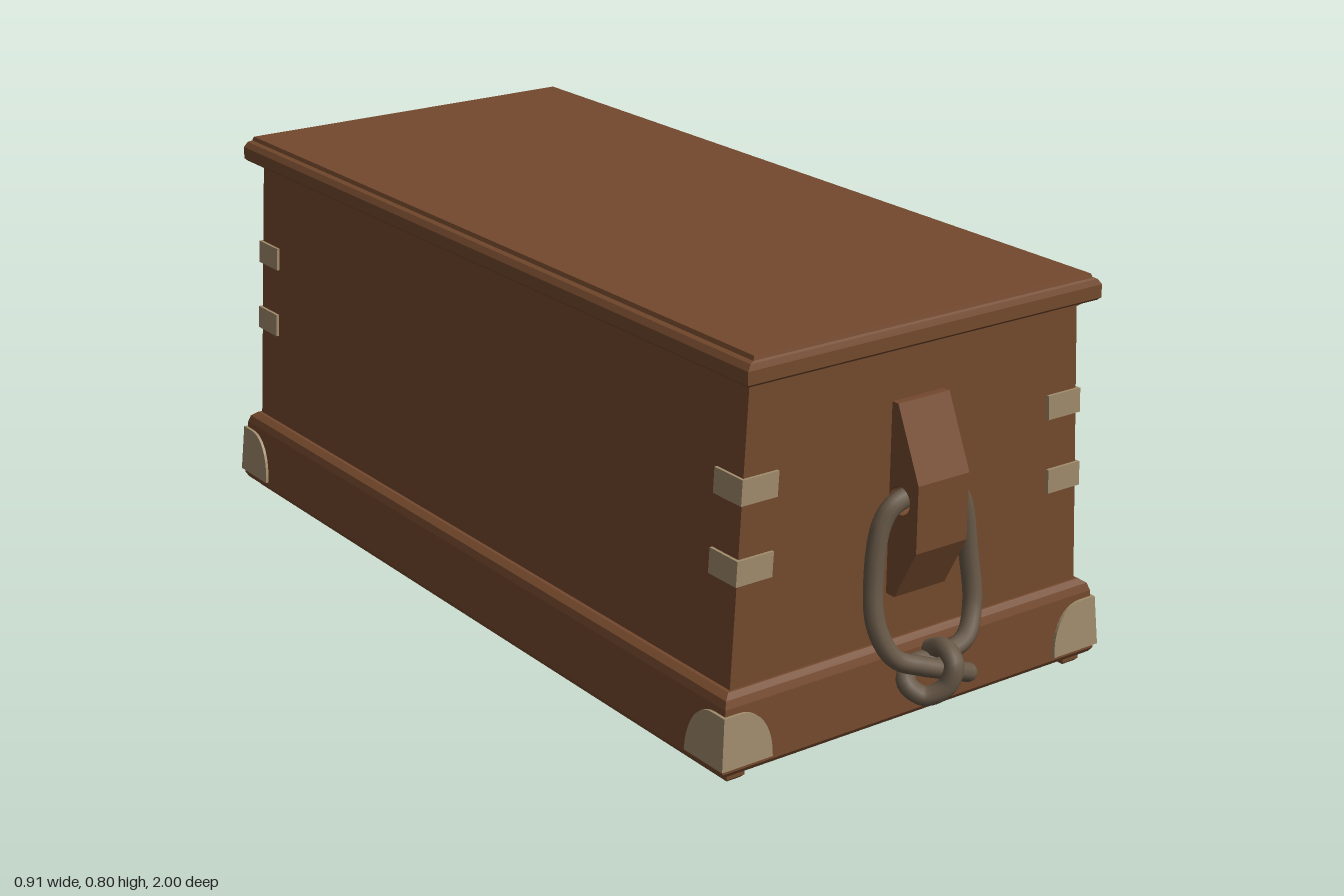
import * as THREE from 'three';

const wood = new THREE.MeshStandardMaterial({ color: 0x74492d });
wood.name = 'brown wood';
const metal = new THREE.MeshStandardMaterial({ color: 0xa08c6c, side: THREE.DoubleSide });
metal.name = 'tan fittings';
const hemp = new THREE.MeshStandardMaterial({ color: 0x675847 });
hemp.name = 'rope';

function add(parent, name, geometry, material) {
  const mesh = new THREE.Mesh(geometry, material);
  mesh.name = name;
  parent.add(mesh);
  return mesh;
}

// Joins rectangular rings [y, half width, half depth] and caps both ends.
function loft(rings) {
  const pos = [];
  const ring = ([y, x, z]) => [[-x, y, z], [x, y, z], [x, y, -z], [-x, y, -z]];
  const quad = (a, b, c, d) => pos.push(...a, ...b, ...c, ...a, ...c, ...d);
  for (let i = 0; i < rings.length - 1; i++) {
    const a = ring(rings[i]), b = ring(rings[i + 1]);
    for (let k = 0; k < 4; k++) {
      const n = (k + 1) % 4;
      quad(a[k], a[n], b[n], b[k]);
    }
  }
  const low = ring(rings[0]), top = ring(rings[rings.length - 1]);
  quad(low[3], low[2], low[1], low[0]);
  quad(...top);
  const g = new THREE.BufferGeometry();
  g.setAttribute('position', new THREE.Float32BufferAttribute(pos, 3));
  g.computeVertexNormals();
  return g;
}

// Wall positions of the tapered body and of the plinth at height y.
const bodyX = (y) => 0.415 - (y - 0.17) * 0.06;
const bodyZ = () => 0.857;
const plinthX = (y) => 0.45 - (y - 0.03) * 0.083;
const plinthZ = (y) => 0.885 - (y - 0.03) * 0.058;

// Thin plate pair folded round a corner; shape x runs away from the corner.
function cornerPlate(parent, name, shape, wallX, wallZ) {
  for (let sx = -1; sx <= 1; sx += 2) {
    for (let sz = -1; sz <= 1; sz += 2) {
      for (const onEnd of [true, false]) {
        const g = new THREE.ExtrudeGeometry(shape, { depth: 0.006, bevelEnabled: false, curveSegments: 10 });
        const p = g.attributes.position;
        for (let i = 0; i < p.count; i++) {
          const u = p.getX(i), y = p.getY(i), d = p.getZ(i);
          p.setXYZ(i, sx * (wallX(y) + (onEnd ? -u : d)), y, sz * (wallZ(y) + (onEnd ? d : -u)));
        }
        g.computeVertexNormals();
        add(parent, name, g, metal);
      }
    }
  }
}

function polygon(points) {
  return new THREE.Shape(points.map(([x, y]) => new THREE.Vector2(x, y)));
}

// Cleat with rope hole, lid batten and knotted rope for one end (s = 1 front, -1 back).
function endFittings(s) {
  const end = new THREE.Group();
  end.name = s > 0 ? 'frontHandle' : 'backHandle';
  const turn = s > 0 ? 0 : Math.PI;

  const profile = polygon([[0.85, 0.268], [0.88, 0.268], [0.934, 0.37], [0.934, 0.5], [0.873, 0.638], [0.85, 0.638]]);
  const hole = new THREE.Path();
  hole.absarc(0.886, 0.458, 0.027, 0, Math.PI * 2, true);
  profile.holes.push(hole);
  const cleat = new THREE.ExtrudeGeometry(profile, { depth: 0.12, bevelEnabled: false, curveSegments: 16 });
  cleat.rotateY(-Math.PI / 2).translate(0.06, 0, 0);
  add(end, 'handleCleat', cleat, wood).rotation.y = turn;

  const batten = new THREE.ExtrudeGeometry(
    polygon([[-0.385, 0.748], [-0.02, 0.685], [0.02, 0.685], [0.385, 0.748]]),
    { depth: 0.035, bevelEnabled: false });
  batten.translate(0, 0, 0.85);
  add(end, 'lidBatten', batten, wood).rotation.y = turn;

  const path = [
    [0.072, 0.105, 0.94], [0.01, 0.13, 0.945], [-0.04, 0.147, 0.935], [-0.09, 0.17, 0.92],
    [-0.117, 0.23, 0.9], [-0.115, 0.31, 0.885], [-0.095, 0.42, 0.88], [-0.065, 0.455, 0.884],
    [0.065, 0.455, 0.884], [0.095, 0.42, 0.88], [0.113, 0.31, 0.885], [0.113, 0.22, 0.9],
    [0.08, 0.165, 0.92], [0.02, 0.145, 0.918], [-0.04, 0.138, 0.908], [-0.067, 0.117, 0.93],
    [-0.045, 0.096, 0.955], [-0.015, 0.115, 0.978], [0, 0.155, 0.981], [0.005, 0.175, 0.95],
    [0.008, 0.16, 0.91],
  ].map(([x, y, z]) => new THREE.Vector3(x, y, z * s));
  add(end, 'ropeHandle', new THREE.TubeGeometry(new THREE.CatmullRomCurve3(path), 200, 0.0185, 10), hemp);
  for (const tip of [path[0], path[path.length - 1]]) {
    add(end, 'ropeEnd', new THREE.SphereGeometry(0.0185, 10, 8), hemp).position.copy(tip);
  }
  return end;
}

export function createModel() {
  const chest = new THREE.Group();
  chest.name = 'chest';

  // Plinth with a recessed floor and rounded top edge
  add(chest, 'plinth', loft([
    [0.032, 0.385, 0.84], [0.02, 0.385, 0.84], [0.02, 0.445, 0.878], [0.03, 0.45, 0.885],
    [0.15, 0.44, 0.878], [0.165, 0.435, 0.873], [0.174, 0.422, 0.862],
  ]), wood);

  // Runners under the long sides
  for (const s of [-1, 1]) {
    const runner = add(chest, 'runner', loft([[0, 0.015, 0.862], [0.006, 0.02, 0.868], [0.025, 0.02, 0.868]]), wood);
    runner.position.x = s * 0.408;
  }

  // Tapered body
  add(chest, 'body', loft([[0.16, bodyX(0.16), 0.857], [0.75, bodyX(0.75), 0.857]]), wood);

  // Overhanging lid with moulded edge
  add(chest, 'lid', loft([
    [0.745, 0.405, 0.885], [0.75, 0.41, 0.89], [0.775, 0.41, 0.89], [0.786, 0.402, 0.886],
    [0.789, 0.393, 0.882], [0.797, 0.39, 0.88],
  ]), wood);

  // Corner straps on the body
  for (const y of [0.371, 0.52]) {
    const strap = polygon([[-0.006, y], [0.074, y], [0.074, y + 0.048], [-0.006, y + 0.048]]);
    cornerPlate(chest, 'cornerStrap', strap, bodyX, bodyZ);
  }

  // Rounded guards on the plinth corners
  const guard = new THREE.Shape();
  guard.moveTo(-0.006, 0.038);
  guard.lineTo(0.107, 0.038);
  guard.bezierCurveTo(0.105, 0.1, 0.07, 0.138, 0.03, 0.138);
  guard.lineTo(-0.006, 0.138);
  cornerPlate(chest, 'cornerGuard', guard, plinthX, plinthZ);

  chest.add(endFittings(1), endFittings(-1));
  return chest;
}
